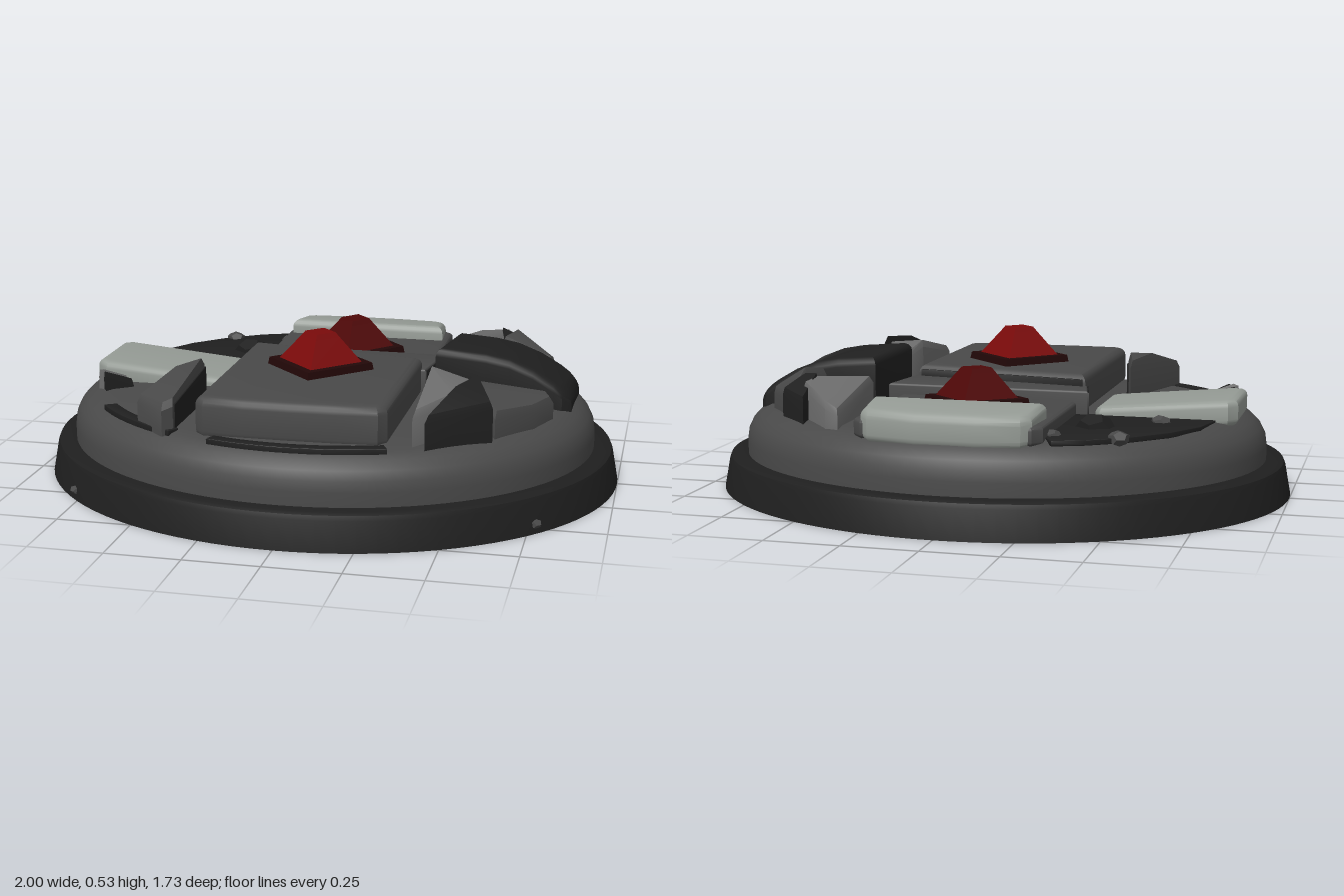
import * as THREE from 'three';
import { toCreasedNormals } from 'three/addons/utils/BufferGeometryUtils.js';
import { ConvexGeometry } from 'three/addons/geometries/ConvexGeometry.js';

const DEPTH = 0.865; // the plinth is an oval: z radius / x radius
const FLOOR = 0.29;

function material(name, color) {
  const m = new THREE.MeshStandardMaterial({ color });
  m.name = name;
  return m;
}

export function createModel() {
  const model = new THREE.Group();
  model.name = 'ruinedFloorPlinth';

  const rimDark = material('rim dark', 0x1f1f1f);
  const underside = material('underside grey', 0x383838);
  const stone = material('stone grey', 0x494949);
  const pale = material('pale stone', 0x959b95);
  const black = material('black stone', 0x202020);
  const rubbleGrey = material('rubble grey', 0x6c6c6c);
  const red = material('gem red', 0x7a0a0a);
  const darkRed = material('gem dark red', 0x4e0808);
  const setting = material('gem setting', 0x220808);

  function add(name, geometry, mat, parent = model) {
    const mesh = new THREE.Mesh(geometry, mat);
    mesh.name = name;
    parent.add(mesh);
    return mesh;
  }

  // Oval turned part
  function oval(name, profile, mat) {
    const g = new THREE.LatheGeometry(profile.map(([r, y]) => new THREE.Vector2(r, y)), 96);
    g.scale(1, 1, DEPTH);
    return add(name, toCreasedNormals(g, 0.6), mat);
  }

  // Slab with rounded edges from an x/z outline; lift(x, z) tilts or bends it
  function slab(name, outline, y0, y1, bevel, mat, lift = () => 0) {
    const shape = new THREE.Shape(outline.map(([x, z]) => new THREE.Vector2(x, -z)));
    const g = new THREE.ExtrudeGeometry(shape, {
      depth: y1 - y0 - 2 * bevel, bevelEnabled: true, bevelThickness: bevel,
      bevelSize: bevel, bevelOffset: -bevel, bevelSegments: 4,
    });
    g.rotateX(-Math.PI / 2);
    g.translate(0, y0 + bevel, 0);
    const p = g.attributes.position;
    for (let i = 0; i < p.count; i++) p.setY(i, p.getY(i) + lift(p.getX(i), p.getZ(i)));
    return add(name, toCreasedNormals(g, 0.65), mat);
  }

  // Rubble with worn top edges: corners [x, z, top], all sunk into the floor
  function shard(name, corners, mat) {
    const cx = corners.reduce((s, c) => s + c[0], 0) / corners.length;
    const cz = corners.reduce((s, c) => s + c[1], 0) / corners.length;
    const points = [];
    for (const [x, z, top] of corners) {
      points.push(
        new THREE.Vector3(x, FLOOR - 0.02, z),
        new THREE.Vector3(x, top - 0.025, z),
        new THREE.Vector3(x + (cx - x) * 0.1, top, z + (cz - z) * 0.1));
    }
    return add(name, toCreasedNormals(new ConvexGeometry(points), 0.6), mat);
  }

  function pebble(name, x, y, z, r, mat) {
    const g = new THREE.DodecahedronGeometry(r);
    g.rotateY(x * 5 + z * 3);
    g.scale(1, 0.7, 1);
    g.translate(x, y, z);
    return add(name, g, mat);
  }

  // Plinth: rim with a hollow underside, and rounded drum
  oval('rim', [[0.915, 0.085], [0.99, 0], [1, 0], [0.981, 0.1], [0.975, 0.115], [0.96, 0.122], [0.9, 0.122]],
    rimDark);
  oval('underside', [[0, 0.085], [0.916, 0.085]], underside);
  oval('drum', [[0.915, 0.118], [0.915, 0.17], [0.91, 0.205], [0.895, 0.235], [0.868, 0.262],
    [0.83, 0.281], [0.78, FLOOR], [0, FLOOR]], stone);

  // Exposed dark bed in the back corner
  slab('darkBed', [[-0.28, -0.2], [-0.77, -0.2], [-0.74, -0.33], [-0.66, -0.46], [-0.55, -0.57],
    [-0.43, -0.65], [-0.33, -0.69], [-0.28, -0.6]], FLOOR - 0.015, FLOOR + 0.003, 0.002, black);

  // Dark cracks that follow the rim
  for (const [a, b] of [[2.06, 2.55], [1.18, 1.88]]) {
    const arc = (r) => Array.from({ length: 13 }, (_, i) => {
      const t = a + (b - a) * i / 12;
      return [r * Math.cos(t), r * DEPTH * Math.sin(t)];
    });
    slab('rimCrack', [...arc(0.845), ...arc(0.8).reverse()], FLOOR - 0.03, FLOOR + 0.002, 0.002, black);
  }

  // Central path of paving slabs
  slab('backSlab', [[-0.3, -0.15], [-0.3, -0.67], [-0.27, -0.7], [0.29, -0.7], [0.32, -0.67], [0.32, -0.15]],
    0.27, 0.335, 0.015, stone);
  slab('middleSlab', [[-0.34, -0.2], [0.36, -0.2], [0.33, 0.02], [-0.29, 0.02]],
    0.27, 0.372, 0.008, stone);
  slab('frontSlab', [[-0.31, -0.1], [0.315, 0.0], [0.31, 0.61], [0.285, 0.64], [0.15, 0.655], [0, 0.66],
    [-0.15, 0.66], [-0.28, 0.655], [-0.31, 0.63]], 0.27, 0.412, 0.03, stone);
  slab('paleBackSlab', [[-0.28, -0.54], [-0.27, -0.69], [-0.24, -0.72], [-0.1, -0.74], [0.1, -0.74],
    [0.26, -0.72], [0.29, -0.69], [0.3, -0.54]], 0.27, 0.38, 0.03, pale, (x, z) => 0.12 * (z + 0.62));

  // Black broken faces: ends of the middle slab and back of the front slab
  slab('middleSlabEnd', [[0.354, -0.195], [0.363, -0.195], [0.334, 0.02], [0.325, 0.02]], 0.28, 0.366, 0.001, black);
  slab('middleSlabEnd', [[-0.343, -0.195], [-0.334, -0.195], [-0.285, 0.02], [-0.294, 0.02]], 0.28, 0.366, 0.001,
    black);
  slab('frontSlabBreak', [[-0.3, -0.104], [0.305, -0.007], [0.305, 0.002], [-0.3, -0.095]], 0.36, 0.395, 0.001,
    black);

  // Side slabs: the pale one is tilted, the black one bends down over the rim
  slab('paleSideSlab', [[-0.84, -0.17], [-0.81, -0.2], [-0.38, -0.2], [-0.36, -0.17], [-0.36, 0.08],
    [-0.38, 0.105], [-0.8, 0.115], [-0.84, 0.08]], 0.25, 0.34, 0.025, pale, (x) => -0.09 * (x + 0.6));
  slab('blackSideSlab', [[0.41, -0.2], [0.55, -0.202], [0.63, -0.203], [0.71, -0.204], [0.78, -0.205],
    [0.82, -0.2], [0.845, -0.17], [0.84, 0.09], [0.81, 0.118], [0.78, 0.12], [0.71, 0.119], [0.63, 0.118],
    [0.55, 0.117], [0.38, 0.115], [0.39, 0.0]], 0.28, 0.472, 0.03, black,
  (x, z) => -0.08 * (x - 0.4) - 1.3 * Math.max(0, x - 0.55) ** 2 + 0.04 * (z - 0.05));

  // Two cut gems on diamond settings
  function gem(x, y, z, tilt, mat) {
    const group = new THREE.Group();
    group.name = 'gem';
    const frustum = (top, bottom, h, base) => {
      const g = new THREE.CylinderGeometry(top, bottom, h, 4).toNonIndexed();
      g.translate(0, base + h / 2, 0);
      g.computeVertexNormals();
      return g;
    };
    add('gemSetting', frustum(0.178, 0.185, 0.03, -0.006), setting, group);
    add('gemBody', frustum(0.066, 0.146, 0.086, 0.02), mat, group);
    add('gemCrown', frustum(0.052, 0.066, 0.016, 0.106), mat, group);
    group.position.set(x, y, z);
    group.rotation.x = tilt;
    model.add(group);
  }
  gem(0, 0.412, 0.2, 0, red);
  gem(0.01, 0.337, -0.33, 0.03, darkRed);

  // Rubble, front left corner
  shard('frontLeftWedge', [[0.39, 0.62, 0.4], [0.39, 0.28, 0.46], [0.43, 0.18, 0.42], [0.55, 0.36, 0.44],
    [0.5, 0.5, 0.43]], rubbleGrey);
  shard('frontLeftOuterWedge', [[0.43, 0.18, 0.4], [0.77, 0.18, 0.37], [0.79, 0.21, 0.36], [0.74, 0.33, 0.36],
    [0.63, 0.47, 0.37], [0.55, 0.36, 0.42]], stone);
  shard('frontLeftBlackShard', [[0.56, 0.35, 0.46], [0.625, 0.49, 0.41], [0.43, 0.625, 0.39],
    [0.5, 0.48, 0.45]], black);

  // Rubble, back left corner
  shard('backLeftWedge', [[0.39, -0.63, 0.35], [0.44, -0.61, 0.37], [0.57, -0.47, 0.41], [0.55, -0.4, 0.42],
    [0.39, -0.28, 0.41]], rubbleGrey);
  shard('backLeftBlackShard', [[0.54, -0.55, 0.37], [0.66, -0.43, 0.38], [0.61, -0.35, 0.42],
    [0.54, -0.41, 0.43]], black);
  shard('backLeftOuterWedge', [[0.65, -0.42, 0.36], [0.75, -0.29, 0.36], [0.74, -0.26, 0.37],
    [0.56, -0.28, 0.43], [0.6, -0.36, 0.44]], stone);

  // Rubble, front right corner
  shard('frontRightWedge', [[-0.41, 0.2, 0.42], [-0.39, 0.27, 0.44], [-0.39, 0.62, 0.39], [-0.42, 0.645, 0.38],
    [-0.53, 0.56, 0.38], [-0.46, 0.36, 0.43]], stone);
  slab('frontRightWedgeBreak', [[-0.405, 0.26], [-0.386, 0.26], [-0.386, 0.61], [-0.405, 0.61]], 0.28, 0.39, 0.001,
    black, (x, z) => -0.1 * (z - 0.4));
  shard('frontRightChip', [[-0.79, 0.18, 0.345], [-0.68, 0.17, 0.32], [-0.76, 0.23, 0.35]], black);
  shard('greyChip', [[-0.8, 0.19, 0.35], [-0.7, 0.17, 0.33], [-0.78, 0.2, 0.355]], rubbleGrey);

  // Pebbles on the floor
  for (const [x, z, r] of [[-0.41, -0.41, 0.065], [-0.52, -0.58, 0.036], [-0.31, -0.59, 0.03],
    [-0.6, -0.27, 0.035], [0.39, 0.0, 0.035]]) {
    pebble('floorPebble', x, FLOOR, z, r, r > 0.06 ? black : stone);
  }

  // Pebbles stuck to the rim
  for (const angle of [0.67, 2.45]) {
    pebble('rimPebble', 0.985 * Math.cos(angle), 0.03, 0.985 * DEPTH * Math.sin(angle), 0.024, stone);
  }

  return model;
}
